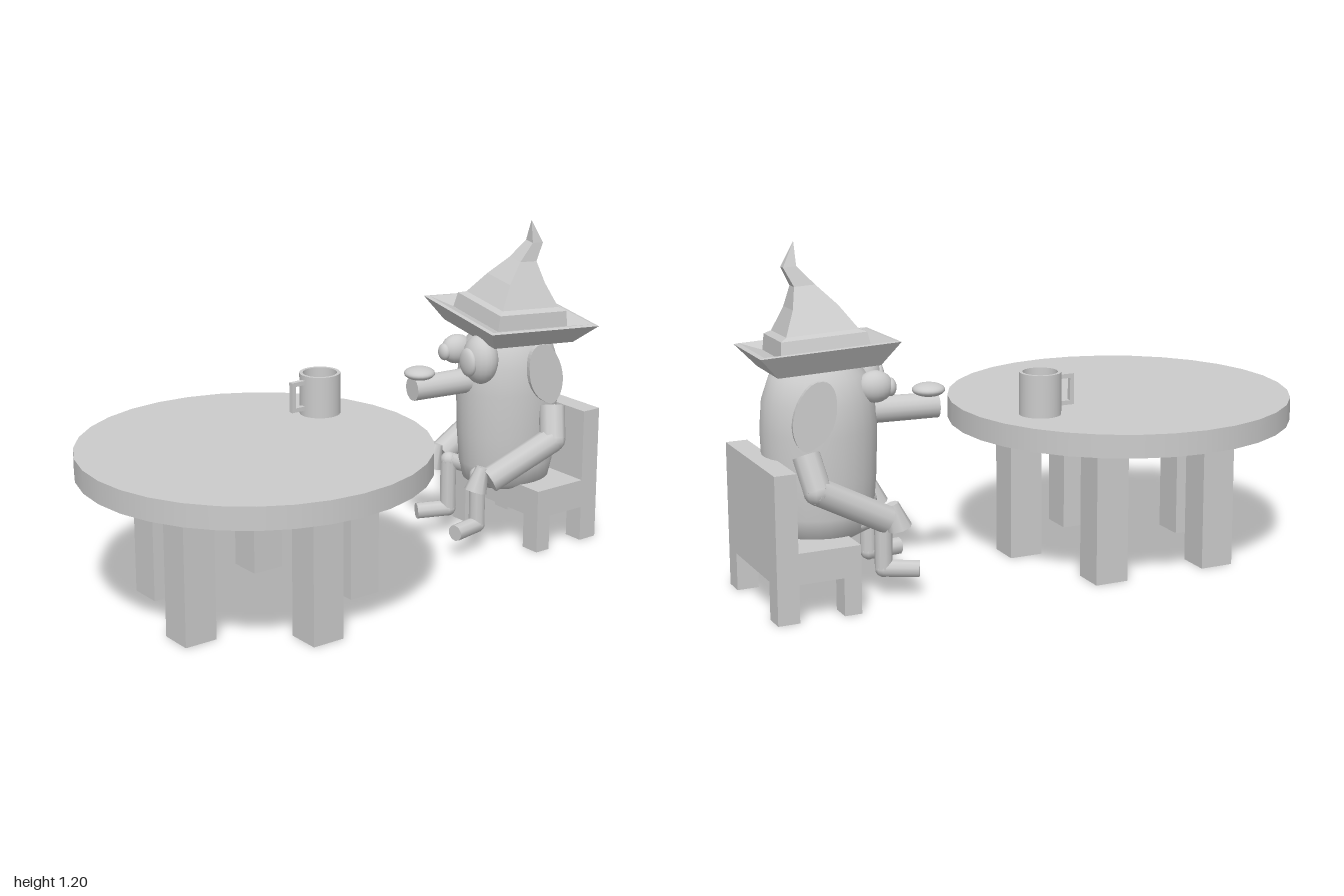
import * as THREE from 'three';

const grey = new THREE.MeshStandardMaterial({ color: 0xcccccc });
const flat = new THREE.MeshStandardMaterial({ color: 0xcccccc, flatShading: true });
const open = new THREE.MeshStandardMaterial({ color: 0xcccccc, side: THREE.DoubleSide });

function add(parent, name, geometry, x = 0, y = 0, z = 0, material = grey) {
  const mesh = new THREE.Mesh(geometry, material);
  mesh.name = name;
  mesh.position.set(x, y, z);
  parent.add(mesh);
  return mesh;
}

function group(parent, name) {
  const g = new THREE.Group();
  g.name = name;
  parent.add(g);
  return g;
}

// Box given by its minimum and maximum on each axis
function box(parent, name, x0, x1, y0, y1, z0, z1) {
  return add(parent, name, new THREE.BoxGeometry(x1 - x0, y1 - y0, z1 - z0),
    (x0 + x1) / 2, (y0 + y1) / 2, (z0 + z1) / 2);
}

function ellipsoid(parent, name, x, y, z, rx, ry, rz) {
  const m = add(parent, name, new THREE.SphereGeometry(1, 20, 14), x, y, z);
  m.scale.set(rx, ry, rz);
  return m;
}

// Jointed limb: straight round segments with a ball at every bend
function limb(parent, name, points, radius) {
  const g = group(parent, name);
  const v = points.map((p) => new THREE.Vector3(...p));
  for (let i = 0; i + 1 < v.length; i++) {
    const d = v[i + 1].clone().sub(v[i]);
    const mid = v[i].clone().add(v[i + 1]).multiplyScalar(0.5);
    const seg = add(g, name + 'Segment', new THREE.CylinderGeometry(radius, radius, d.length(), 10), mid.x, mid.y, mid.z);
    seg.quaternion.setFromUnitVectors(new THREE.Vector3(0, 1, 0), d.normalize());
    if (i > 0) add(g, name + 'Joint', new THREE.SphereGeometry(radius, 10, 8), v[i].x, v[i].y, v[i].z);
  }
  return g;
}

// Loft of square rings [y, half width, x offset], closed at both ends
function squareLoft(rings) {
  const pos = [], index = [];
  for (const [y, h, dx] of rings) {
    for (const [sx, sz] of [[-1, -1], [-1, 1], [1, 1], [1, -1]]) pos.push(dx + sx * h, y, sz * h);
  }
  for (let r = 0; r + 1 < rings.length; r++) {
    for (let i = 0; i < 4; i++) {
      const a = r * 4 + i, b = r * 4 + (i + 1) % 4;
      index.push(a, b, b + 4, a, b + 4, a + 4);
    }
  }
  index.push(0, 2, 1, 0, 3, 2);
  const g = new THREE.BufferGeometry();
  g.setAttribute('position', new THREE.Float32BufferAttribute(pos, 3));
  g.setIndex(index);
  g.computeVertexNormals();
  return g;
}

function buildTable(parent) {
  const table = group(parent, 'table');
  add(table, 'tableTop', new THREE.CylinderGeometry(0.605, 0.605, 0.08, 32), -0.395, 0.535, 0);
  for (let i = 0; i < 5; i++) {
    const a = (i / 5) * Math.PI * 2;
    add(table, 'tableLeg', new THREE.BoxGeometry(0.12, 0.5, 0.12),
      -0.395 + 0.355 * Math.sin(a), 0.25, 0.357 * Math.cos(a));
  }
}

function buildMug(parent) {
  const mug = group(parent, 'mug');
  mug.position.set(-0.005, 0.575, -0.16);
  // Separate lathes keep the rim and floor edges sharp
  const profile = [[0, 0], [0.072, 0], [0.072, 0.147], [0.06, 0.147], [0.06, 0.015], [0, 0.015]];
  for (let i = 0; i + 1 < profile.length; i++) {
    const pts = [profile[i], profile[i + 1]].map((p) => new THREE.Vector2(...p));
    add(mug, 'mugWall', new THREE.LatheGeometry(pts, 32), 0, 0, 0, open);
  }
  // Squared handle
  box(mug, 'mugHandle', -0.125, -0.11, 0.022, 0.13, -0.009, 0.009);
  for (const y of [0.022, 0.115]) box(mug, 'mugHandle', -0.11, -0.068, y, y + 0.015, -0.009, 0.009);
}

function buildChair(parent) {
  const chair = group(parent, 'chair');
  box(chair, 'chairSeat', 0.695, 0.91, 0.13, 0.235, -0.26, 0.22);
  box(chair, 'chairBack', 0.91, 0.985, 0.13, 0.5, -0.26, 0.22);
  for (const [x0, x1] of [[0.695, 0.755], [0.91, 0.985]]) {
    for (const z of [-0.26, 0.145]) box(chair, 'chairLeg', x0, x1, 0, 0.13, z, z + 0.075);
  }
}

function buildFigure(parent) {
  // The figure faces -x and is turned slightly on its seat
  const figure = group(parent, 'figure');
  figure.position.set(0.735, 0, -0.01);
  figure.rotation.y = -0.135;

  const profile = [[0, 0.2], [0.11, 0.205], [0.165, 0.235], [0.18, 0.3], [0.19, 0.42], [0.195, 0.58],
    [0.187, 0.68], [0.16, 0.76], [0.1, 0.825], [0, 0.85]];
  const body = add(figure, 'body', new THREE.LatheGeometry(profile.map((p) => new THREE.Vector2(...p)), 28), 0.005, 0, -0.005);
  body.scale.z = 0.86;

  // Snout and nose
  const snout = add(figure, 'snout', new THREE.CylinderGeometry(0.043, 0.046, 0.26, 16), -0.275, 0.622, 0);
  snout.rotation.z = Math.PI / 2;
  ellipsoid(figure, 'nose', -0.375, 0.677, 0, 0.056, 0.023, 0.056);

  // Uneven eyes, each with a flat pupil
  for (const [z, s] of [[0.08, 1], [-0.08, 0.6]]) {
    ellipsoid(figure, 'eye', -0.17, 0.72, z, 0.06, 0.09 * s, 0.075 * s);
    ellipsoid(figure, 'pupil', -0.222, 0.715, z, 0.02, 0.052 * s, 0.048 * s);
  }

  // Flat drooping ear outline
  const earShape = new THREE.Shape();
  earShape.moveTo(-0.03, 0.11);
  earShape.bezierCurveTo(0.02, 0.12, 0.07, 0.03, 0.072, -0.03);
  earShape.bezierCurveTo(0.073, -0.08, 0.05, -0.125, 0.02, -0.118);
  earShape.bezierCurveTo(-0.03, -0.1, -0.075, -0.06, -0.075, 0.03);
  earShape.bezierCurveTo(-0.075, 0.08, -0.06, 0.105, -0.03, 0.11);
  const earGeometry = new THREE.ExtrudeGeometry(earShape, { depth: 0.018, bevelEnabled: false, curveSegments: 8 });

  for (const s of [1, -1]) {
    add(figure, 'ear', earGeometry, 0.055, 0.66, s * 0.165 - 0.009);
    limb(figure, 'arm', [[0.085, 0.53, s * 0.17], [0.06, 0.42, s * 0.215], [-0.18, 0.29, s * 0.17]], 0.047);
    const hand = add(figure, 'hand', new THREE.CylinderGeometry(0.022, 0.042, 0.09, 8), -0.215, 0.295, s * 0.155);
    hand.rotation.z = -0.3;
    limb(figure, 'leg', [[-0.08, 0.25, s * 0.08], [-0.185, 0.29, s * 0.1], [-0.185, 0.1, s * 0.1], [-0.3, 0.097, s * 0.135]], 0.03);
  }

  // Tilted square hat: brim, band and bent crown
  const hat = group(figure, 'hat');
  hat.position.set(0, 0.785, 0);
  hat.rotation.set(0.09, 0, -0.06);
  add(hat, 'hatBrim', squareLoft([[0, 0.17, 0], [0.075, 0.23, 0], [0.078, 0.215, 0], [0.055, 0.15, 0], [0.055, 0, 0]]), 0, 0, 0, flat);
  add(hat, 'hatCrown', squareLoft([[0.04, 0.152, 0], [0.11, 0.142, 0], [0.12, 0.12, 0], [0.2, 0.075, 0.005],
    [0.27, 0.035, 0.025], [0.335, 0.022, 0.065], [0.415, 0, 0.04]]), 0, 0, 0, flat);
}

export function createModel() {
  const model = new THREE.Group();
  model.name = 'seatedFigureAtTable';
  buildTable(model);
  buildMug(model);
  buildChair(model);
  buildFigure(model);
  return model;
}
